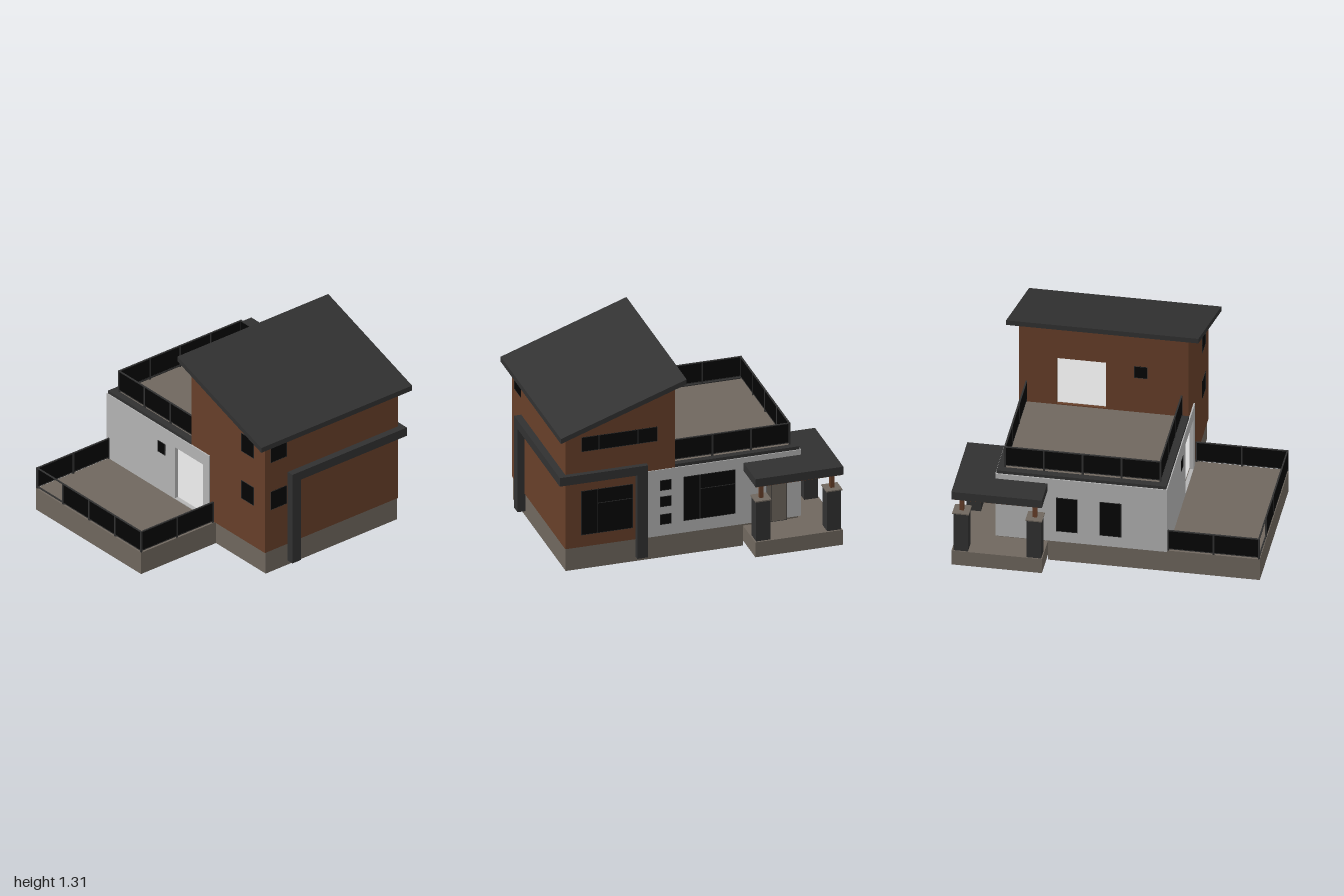
import * as THREE from 'three';

const mat = (name, color) => {
  const m = new THREE.MeshStandardMaterial({ color });
  m.name = name;
  return m;
};

export function createModel() {
  const brown = mat('brown cladding', 0x673f29);
  const white = mat('light plaster', 0xb4b4b4);
  const pale = mat('pale indoor floor', 0xd8d8d8);
  const stone = mat('taupe concrete', 0x6f675e);
  const dark = mat('charcoal trim', 0x313131);
  const glass = mat('black glass', 0x040404);
  const house = new THREE.Group();
  house.name = 'house';

  // Box given by its extents
  function box(name, m, x0, x1, y0, y1, z0, z1, parent = house) {
    const mesh = new THREE.Mesh(new THREE.BoxGeometry(x1 - x0, y1 - y0, z1 - z0), m);
    mesh.position.set((x0 + x1) / 2, (y0 + y1) / 2, (z0 + z1) / 2);
    mesh.name = name;
    parent.add(mesh);
  }

  // Flat wall cut from an outline, with rectangular holes [u0, u1, v0, v1]
  function cutWall(depth, points, holes = []) {
    const shape = new THREE.Shape(points.map(p => new THREE.Vector2(...p)));
    for (const [a, b, c, d] of holes) {
      shape.holes.push(new THREE.Path([[a, c], [a, d], [b, d], [b, c]].map(p => new THREE.Vector2(...p))));
    }
    return new THREE.ExtrudeGeometry(shape, { depth, bevelEnabled: false });
  }
  const rect = (a, b, c, d) => [[a, c], [b, c], [b, d], [a, d]];

  // Wall lying in the zy plane, with its +x face at x
  function sideWall(name, m, x, depth, points, holes) {
    const mesh = new THREE.Mesh(cutWall(depth, points, holes).rotateY(-Math.PI / 2), m);
    mesh.position.x = x;
    mesh.name = name;
    house.add(mesh);
  }
  // Wall lying in the xy plane, with its back face at z
  function crossWall(name, m, z, depth, points, holes) {
    const mesh = new THREE.Mesh(cutWall(depth, points, holes), m);
    mesh.position.z = z;
    mesh.name = name;
    house.add(mesh);
  }

  // Foundations, notched at the rear right corner for the porch
  box('foundationFront', stone, -0.37, 0.737, 0, 0.16, -0.335, 0.877);
  box('foundationRear', stone, -0.37, 0.4, 0, 0.16, -0.712, -0.335);
  box('foundationCorner', stone, 0.4, 0.737, 0.125, 0.16, -0.712, -0.335);
  box('terraceSlab', stone, -1, -0.37, 0, 0.16, -0.712, 0.367);
  box('seamStrip', pale, -0.383, -0.37, -0.001, 0.001, -0.6, 0.2);

  // Porch slab, hollow underneath
  const porchRim = new THREE.Mesh(
    cutWall(0.095, rect(0.4, 0.998, 0.335, 0.933), [[0.55, 0.85, 0.485, 0.785]]).rotateX(-Math.PI / 2), stone);
  porchRim.position.y = 0.037;
  porchRim.name = 'porchRim';
  house.add(porchRim);
  box('porchFloor', stone, 0.4, 0.998, 0.13, 0.145, -0.933, -0.335);

  // Tall front block, clad outside and plastered inside
  const side = [[0.88, 0.16], [0.88, 0.99], [0.13, 1.257], [0.13, 0.64], [0.32, 0.64], [0.32, 0.16]];
  sideWall('rightCladding', brown, 0.74, 0.02, side);
  sideWall('rightLining', white, 0.72, 0.005, side);
  sideWall('leftCladding', brown, -0.36, 0.02, side);
  sideWall('leftLining', white, -0.355, 0.005, side);
  box('frontCladding', brown, -0.38, 0.74, 0.16, 0.99, 0.86, 0.881);
  box('frontLining', white, -0.36, 0.72, 0.16, 0.99, 0.855, 0.86);
  const doorHole = [[0.165, 0.49, 0.662, 1.015]];
  crossWall('upperBackCladding', brown, 0.129, 0.02, rect(-0.38, 0.74, 0.64, 1.255), doorHole);
  crossWall('upperBackLining', white, 0.149, 0.005, rect(-0.36, 0.72, 0.64, 1.245), doorHole);

  // Sloping roof slab
  sideWall('slopingRoof', dark, 0.815, 1.27, [[0.935, 0.967], [0.935, 1.003], [0.075, 1.305], [0.075, 1.27]]);

  // Low rear block
  sideWall('rearRightWall', white, 0.745, 0.025, rect(-0.725, 0.32, 0.16, 0.64));
  sideWall('rearLeftWall', white, -0.365, 0.025, rect(-0.725, 0.32, 0.16, 0.64), [[-0.03, 0.26, 0.165, 0.55]]);
  box('rearBackWall', white, -0.389, 0.744, 0.16, 0.64, -0.73, -0.705);

  // Pale indoor floors, the deck and the stair
  box('groundFloor', pale, -0.36, 0.72, 0.155, 0.165, -0.7, 0.855);
  box('deckFloor', stone, -0.36, 0.72, 0.615, 0.655, -0.7, 0.14);
  box('upperFloor', pale, -0.36, 0.72, 0.615, 0.66, 0.14, 0.855);
  for (let i = 0; i < 8; i++) {
    box('stairStep', stone, -0.25 + i * 0.06, -0.19 + i * 0.06, 0.165, 0.22 + i * 0.055, 0.3, 0.8);
  }

  // Dark coping around the roof deck
  box('copingBack', dark, -0.383, 0.738, 0.64, 0.662, -0.722, -0.675);
  box('copingLeft', dark, -0.383, -0.335, 0.64, 0.662, -0.675, 0.13);
  box('copingRight', dark, 0.695, 0.738, 0.64, 0.662, -0.675, 0.13);

  // Glass railing between two points, split into n bays
  function railing(name, x0, z0, x1, z1, y, n, openBay = -1) {
    const g = new THREE.Group();
    g.name = name;
    const len = Math.hypot(x1 - x0, z1 - z0), bay = len / n;
    for (let i = 0; i <= n; i++) {
      box('post', dark, i * bay - 0.006, i * bay + 0.006, 0, 0.16, -0.005, 0.005, g);
      if (i < n && i !== openBay) {
        box('glassPanel', glass, i * bay + 0.006, (i + 1) * bay - 0.006, 0.02, 0.155, -0.004, 0.004, g);
      }
    }
    box('topRail', dark, 0, len, 0.154, 0.16, -0.005, 0.005, g);
    box('bottomRail', dark, 0, len, 0.015, 0.021, -0.005, 0.005, g);
    g.position.set(x0, y, z0);
    g.rotation.y = Math.atan2(-(z1 - z0), x1 - x0);
    house.add(g);
  }
  railing('deckRailBack', -0.335, -0.668, 0.69, -0.668, 0.658, 4);
  railing('deckRailLeft', -0.335, -0.668, -0.335, 0.124, 0.658, 3);
  railing('deckRailRight', 0.69, -0.668, 0.69, 0.124, 0.658, 3);
  railing('terraceRailFront', -0.993, 0.36, -0.392, 0.36, 0.155, 2);
  railing('terraceRailBack', -0.993, -0.705, -0.392, -0.705, 0.155, 2);
  railing('terraceRailLeft', -0.993, -0.705, -0.993, 0.36, 0.155, 4, 0);

  // Framed opening on a wall; bars are [u0, u1, v0, v1] from the pane centre
  const turn = { front: 0, right: Math.PI / 2, back: Math.PI, left: -Math.PI / 2 };
  function pane(name, facing, x, y, z, w, h, bars = [], fill = glass) {
    const g = new THREE.Group(), t = 0.003, a = w / 2, b = h / 2;
    g.name = name;
    box('panel', fill, -a, a, -b, b, -0.001, 0.0015, g);
    const edges = [[-a, a, b - t, b], [-a, a, -b, t - b], [-a, t - a, -b, b], [a - t, a, -b, b]];
    for (const [u0, u1, v0, v1] of [...edges, ...bars]) box('frameBar', dark, u0, u1, v0, v1, -0.001, 0.0025, g);
    g.position.set(x, y, z);
    g.rotation.y = turn[facing];
    house.add(g);
  }
  for (const y of [0.535, 0.89]) {
    pane('frontWindow', 'front', -0.265, y, 0.881, 0.135, 0.138);
    pane('leftWindow', 'left', -0.38, y, 0.705, 0.13, 0.138);
  }
  const cross = [[-0.067, -0.063, -0.16, 0.16], [-0.065, 0.177, 0.055, 0.059]];
  pane('frontRoomWindow', 'right', 0.74, 0.405, 0.595, 0.355, 0.32, cross);
  pane('rearRoomWindow', 'right', 0.745, 0.405, -0.103, 0.355, 0.32, cross);
  pane('clerestoryWindow', 'right', 0.74, 0.902, 0.51, 0.52, 0.105,
    [-0.14, 0.125].map(u => [u - 0.003, u + 0.003, -0.05, 0.05]));
  for (const y of [0.278, 0.407, 0.525]) pane('smallSquareWindow', 'right', 0.745, y, 0.197, 0.078, 0.075);
  pane('entranceDoor', 'right', 0.745, 0.335, -0.563, 0.14, 0.378, [[-0.036, -0.034, -0.18, 0.18]], stone);
  for (const x of [0.273, -0.017]) pane('backWindow', 'back', x, 0.37, -0.73, 0.142, 0.26);
  pane('upperBackWindow', 'back', -0.065, 0.965, 0.129, 0.09, 0.09);
  pane('terraceSmallWindow', 'left', -0.39, 0.485, -0.165, 0.075, 0.085);

  // Dark portal frame wrapping the front right corner
  box('portalFrontBeam', dark, -0.188, 0.775, 0.638, 0.7, 0.88, 0.93);
  box('portalFrontPost', dark, -0.188, -0.115, 0.033, 0.64, 0.875, 0.93);
  box('portalSideBeam', dark, 0.735, 0.775, 0.638, 0.7, 0.325, 0.88);
  box('portalSidePost', dark, 0.73, 0.775, 0.033, 0.64, 0.325, 0.4);

  // Corner porch with a timber ceiling
  box('porchRoof', dark, 0.4, 0.998, 0.545, 0.603, -0.937, -0.337);
  box('porchCeiling', brown, 0.405, 0.993, 0.541, 0.546, -0.932, -0.342);
  for (const [x, z] of [[0.938, -0.393], [0.938, -0.878], [0.455, -0.878]]) {
    const column = new THREE.Group();
    column.name = 'porchColumn';
    box('columnBase', dark, -0.048, 0.048, 0.14, 0.43, -0.048, 0.048, column);
    box('columnCap', stone, -0.055, 0.055, 0.43, 0.438, -0.055, 0.055, column);
    box('woodPost', brown, -0.014, 0.014, 0.438, 0.545, -0.014, 0.014, column);
    column.position.set(x, 0, z);
    house.add(column);
  }
  return house;
}
